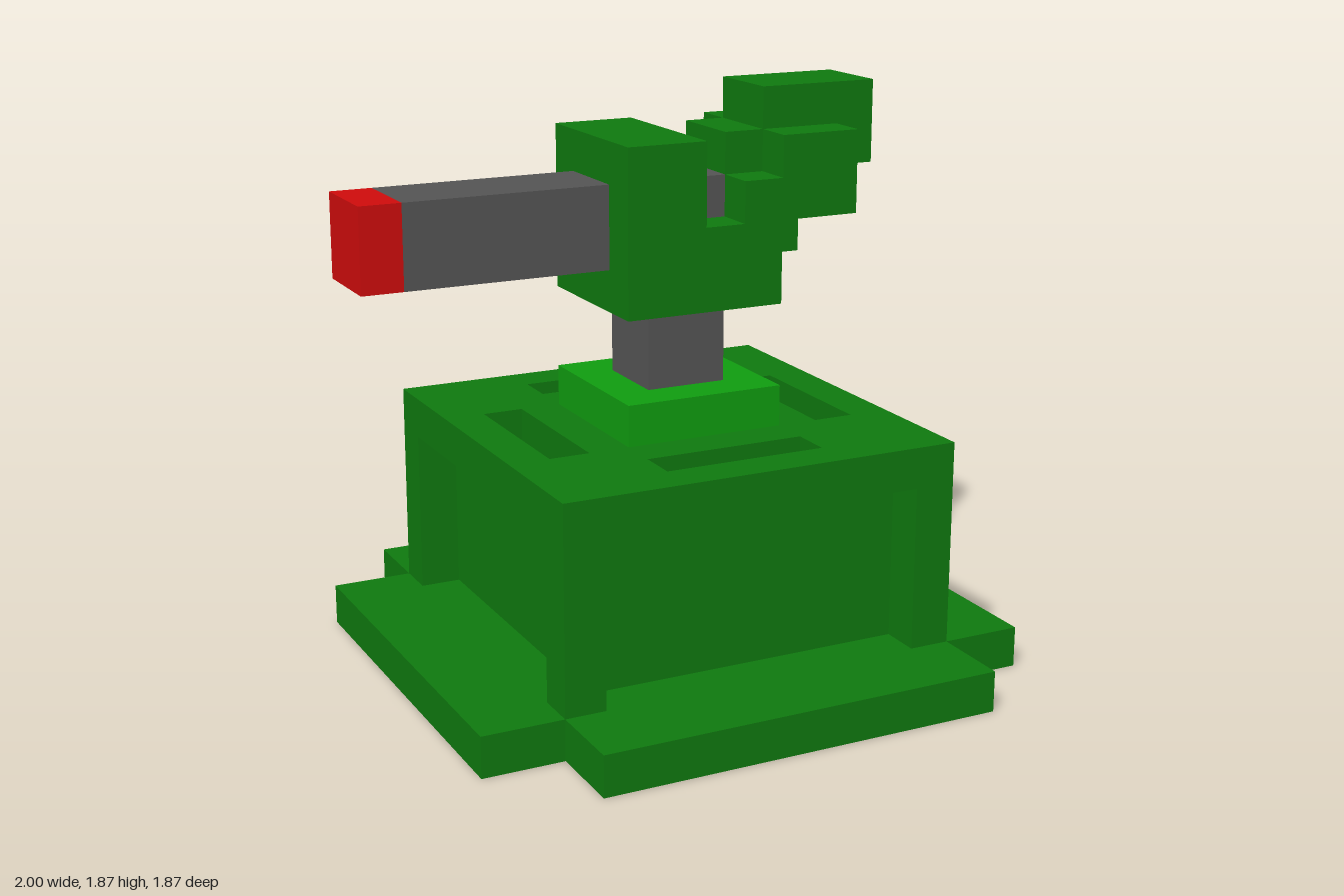
import * as THREE from 'three';

// Everything sits on a grid of 15 x 14 x 14 cells
const U = 2 / 15;
const X = (i) => i * U - 1;
const Y = (j) => j * U;
const Z = (k) => (k - 7) * U;

function material(name, color) {
  const m = new THREE.MeshStandardMaterial({ color });
  m.name = name;
  return m;
}

export function createModel() {
  const green = material('dark green', 0x0f7a0f);
  const lightGreen = material('bright green', 0x109e10);
  const grey = material('gun grey', 0x555555);
  const red = material('tip red', 0xd00c0c);

  const model = new THREE.Group();
  model.name = 'turret';

  function add(name, geometry, mat, parent = model) {
    const mesh = new THREE.Mesh(geometry, mat);
    mesh.name = name;
    parent.add(mesh);
    return mesh;
  }

  // Box between two grid corners
  function block(name, mat, [x0, x1], [y0, y1], [z0, z1], parent) {
    const geo = new THREE.BoxGeometry((x1 - x0) * U, (y1 - y0) * U, (z1 - z0) * U);
    geo.translate(X((x0 + x1) / 2), Y((y0 + y1) / 2), Z((z0 + z1) / 2));
    return add(name, geo, mat, parent);
  }

  // Horizontal slab from an (x, z) outline with optional holes
  const plan = (pts) => pts.map(([x, z]) => new THREE.Vector2(X(x), Z(z)));
  function slab(name, mat, outline, holes, y0, y1) {
    const shape = new THREE.Shape(plan(outline));
    for (const h of holes) shape.holes.push(new THREE.Path(plan(h)));
    const geo = new THREE.ExtrudeGeometry(shape, { depth: (y1 - y0) * U, bevelEnabled: false });
    geo.rotateX(Math.PI / 2).translate(0, Y(y1), 0);
    return add(name, geo, mat);
  }
  const rect = (x0, x1, z0, z1) => [[x0, z0], [x1, z0], [x1, z1], [x0, z1]];

  // Cross-shaped foot plate
  slab('footPlate', green, [
    [3, 0], [13, 0], [13, 2], [15, 2], [15, 12], [13, 12],
    [13, 14], [3, 14], [3, 12], [1, 12], [1, 2], [3, 2],
  ], [], 0, 1);

  // Body: recessed core, corner posts and slotted lid
  block('bodyCore', green, [4, 12], [1, 5], [3, 11]);
  for (const x of [3, 12]) {
    for (const z of [2, 11]) block('cornerPost', green, [x, x + 1], [1, 5], [z, z + 1]);
  }
  slab('slottedLid', green, rect(3, 13, 2, 12), [
    rect(6, 10, 3, 4), rect(6, 10, 10, 11), rect(4, 5, 5, 9), rect(11, 12, 5, 9),
  ], 5, 6);

  // Swivel mount
  block('collar', lightGreen, [6, 10], [6, 7], [5, 9]);
  block('neck', grey, [7, 9], [7, 9], [6, 8]);

  // Gun head: notched side profile extruded across its width
  const head = new THREE.Group();
  head.name = 'gunHead';
  model.add(head);
  const profile = [
    [6, 9], [10, 9], [10, 11], [12, 11], [12, 13], [10, 13],
    [10, 12], [9, 12], [9, 11], [8, 11], [8, 13], [6, 13],
  ].map(([x, y]) => new THREE.Vector2(X(x), Y(y)));
  const housing = new THREE.ExtrudeGeometry(new THREE.Shape(profile), { depth: 4 * U, bevelEnabled: false });
  housing.translate(0, 0, Z(5));
  add('housing', housing, green, head);
  block('stepBlock', green, [9, 10], [12, 13], [6, 8], head);
  block('rearBlock', green, [10, 13], [12, 14], [6, 8], head);
  block('lowerBlock', green, [10, 11], [10, 11], [6, 8], head);

  // Barrel with coloured muzzle
  block('barrel', grey, [1, 9], [10, 12], [6, 8], head);
  block('muzzle', red, [0, 1], [10, 12], [6, 8], head);

  return model;
}
